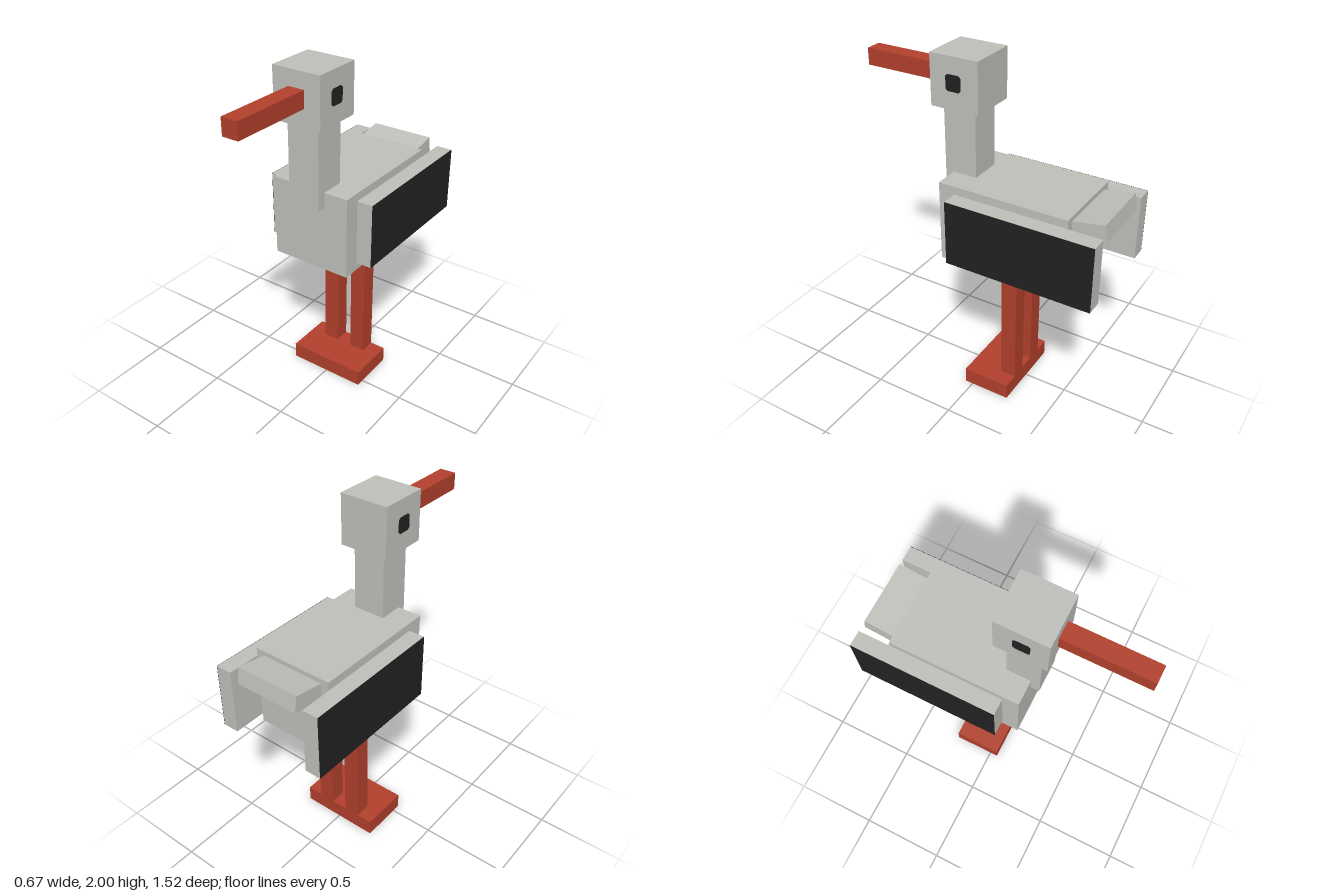
import * as THREE from 'three';

export function createModel() {
  const model = new THREE.Group();
  model.name = 'wadingBird';

  const material = (name, color) => {
    const m = new THREE.MeshStandardMaterial({ color });
    m.name = name;
    return m;
  };
  const grey = material('grey plumage', 0xc0c0bb);
  const red = material('red beak and legs', 0xb2402c);
  const black = material('black markings', 0x222222);

  const add = (name, geometry, mat) => {
    const mesh = new THREE.Mesh(geometry, mat);
    mesh.name = name;
    model.add(mesh);
    return mesh;
  };
  // Box given by its extents on each axis
  const box = (name, mat, [x0, x1], [y0, y1], [z0, z1]) => {
    const mesh = add(name, new THREE.BoxGeometry(x1 - x0, y1 - y0, z1 - z0), mat);
    mesh.position.set((x0 + x1) / 2, (y0 + y1) / 2, (z0 + z1) / 2);
    return mesh;
  };

  // Body, neck, head and beak
  box('body', grey, [-0.238, 0.238], [0.86, 1.333], [-0.571, 0.19]);
  box('neck', grey, [-0.095, 0.095], [1.24, 1.72], [0.048, 0.24]);
  box('head', grey, [-0.143, 0.143], [1.715, 2], [0, 0.286]);
  box('beak', red, [-0.048, 0.048], [1.815, 1.91], [0.286, 0.762]);

  // Tail, tipped up towards the back
  const tail = box('tail', grey, [-0.19, 0.19], [1.225, 1.32], [-0.762, -0.562]);
  tail.position.set(0, 1.272, -0.655);
  tail.rotation.x = 0.165;

  // Joined feet
  box('feet', red, [-0.238, 0.238], [0, 0.095], [-0.238, 0.048]);

  // Eye outline: a square with clipped corners
  const h = 0.045, c = 0.012;
  const eyeShape = new THREE.Shape([
    [-h, -h + c], [-h + c, -h], [h - c, -h], [h, -h + c],
    [h, h - c], [h - c, h], [-h + c, h], [-h, h - c],
  ].map(([x, y]) => new THREE.Vector2(x, y)));
  const eyeGeometry = new THREE.ExtrudeGeometry(eyeShape, { depth: 0.003, bevelEnabled: false });

  // Mirrored parts
  for (const [side, s] of [['left', 1], ['right', -1]]) {
    const span = (a, b) => (s > 0 ? [a, b] : [-b, -a]);
    box(side + 'Leg', red, span(0.048, 0.143), [0.095, 0.86], [-0.238, -0.143]);
    box(side + 'Wing', grey, span(0.238, 0.331), [0.907, 1.286], [-0.762, 0.095]);
    box(side + 'WingPanel', black, span(0.331, 0.333), [0.907, 1.286], [-0.762, 0.095]);
    const eye = add(side + 'Eye', eyeGeometry, black);
    eye.position.set(s * 0.142, 1.86, 0.147);
    eye.rotation.y = s * Math.PI / 2;
  }

  return model;
}
